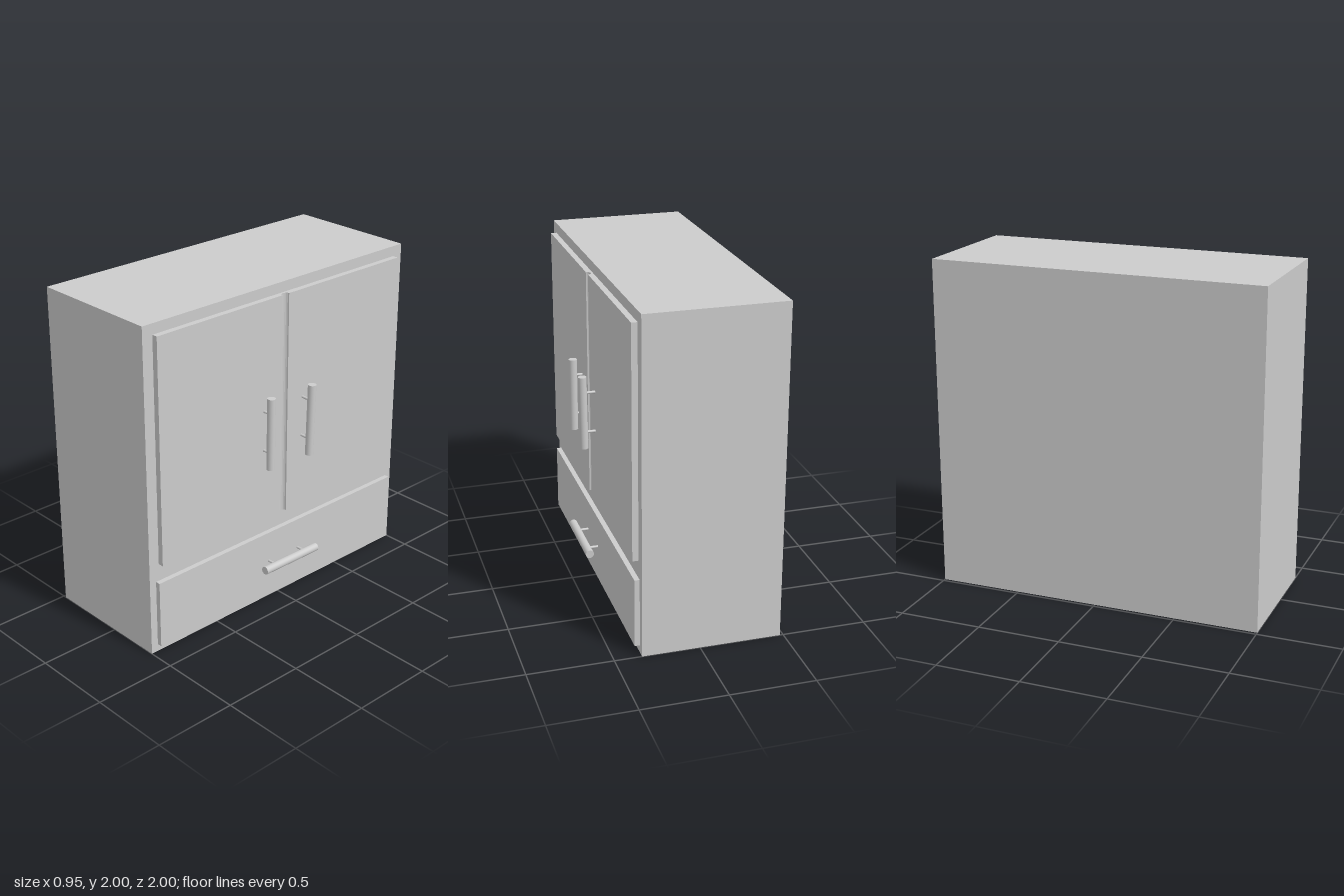
import * as THREE from 'three';

const mat = new THREE.MeshStandardMaterial({ color: 0xcccccc });
const flatMat = new THREE.MeshStandardMaterial({ color: 0xcccccc, flatShading: true });

function box(name, x0, x1, y0, y1, z0, z1) {
  const m = new THREE.Mesh(new THREE.BoxGeometry(x1 - x0, y1 - y0, z1 - z0), mat);
  m.name = name;
  m.position.set((x0 + x1) / 2, (y0 + y1) / 2, (z0 + z1) / 2);
  return m;
}

// Round bar between two points
function rod(name, a, b, radius, sides) {
  const dir = b.clone().sub(a);
  const m = new THREE.Mesh(new THREE.CylinderGeometry(radius, radius, dir.length(), sides), mat);
  m.name = name;
  m.position.copy(a).add(b).multiplyScalar(0.5);
  m.quaternion.setFromUnitVectors(new THREE.Vector3(0, 1, 0), dir.normalize());
  return m;
}

// Bar handle held off the panel by two thin posts, placed at fractions along the bar
function handle(name, a, b, panelX, fractions) {
  const g = new THREE.Group();
  g.name = name;
  g.add(rod('handleBar', a, b, 0.025, 20));
  for (const t of fractions) {
    const end = a.clone().lerp(b, t);
    g.add(rod('handlePost', new THREE.Vector3(panelX - 0.01, end.y, end.z), end, 0.008, 10));
  }
  return g;
}

// Door pair: one slab with a rounded groove down the middle
function doors() {
  const front = 0.375, back = 0.34, half = 0.932, r = 0.026;
  const s = new THREE.Shape();
  s.moveTo(back, -half);
  s.lineTo(front, -half);
  for (let i = 0; i <= 8; i++) {
    const a = (i / 8) * Math.PI;
    s.lineTo(front - 0.023 * Math.sin(a), -r * Math.cos(a));
  }
  s.lineTo(front, half);
  s.lineTo(back, half);
  s.closePath();
  const y0 = 0.567, y1 = 1.937;
  const geo = new THREE.ExtrudeGeometry(s, { depth: y1 - y0, bevelEnabled: false });
  geo.rotateX(-Math.PI / 2);
  const m = new THREE.Mesh(geo, flatMat);
  m.name = 'doors';
  m.position.y = y0;
  return m;
}

export function createModel() {
  const V = (x, y, z) => new THREE.Vector3(x, y, z);
  const g = new THREE.Group();
  g.name = 'cabinet';

  // Carcass, doors and drawer
  g.add(box('body', -0.48, 0.34, 0, 2, -1, 1));
  g.add(doors());
  g.add(box('drawerFront', 0.34, 0.37, 0.046, 0.46, -0.955, 0.955));

  // Handles, the second door handle leaning slightly
  g.add(handle('leftDoorHandle', V(0.432, 0.925, 0.16), V(0.432, 1.37, 0.158), 0.375, [0.225, 0.775]));
  g.add(handle('rightDoorHandle', V(0.444, 0.925, -0.143), V(0.45, 1.37, -0.149), 0.375, [0.225, 0.775]));
  g.add(handle('drawerHandle', V(0.44, 0.268, 0.205), V(0.44, 0.264, -0.222), 0.37, [0.235, 0.8]));
  return g;
}
